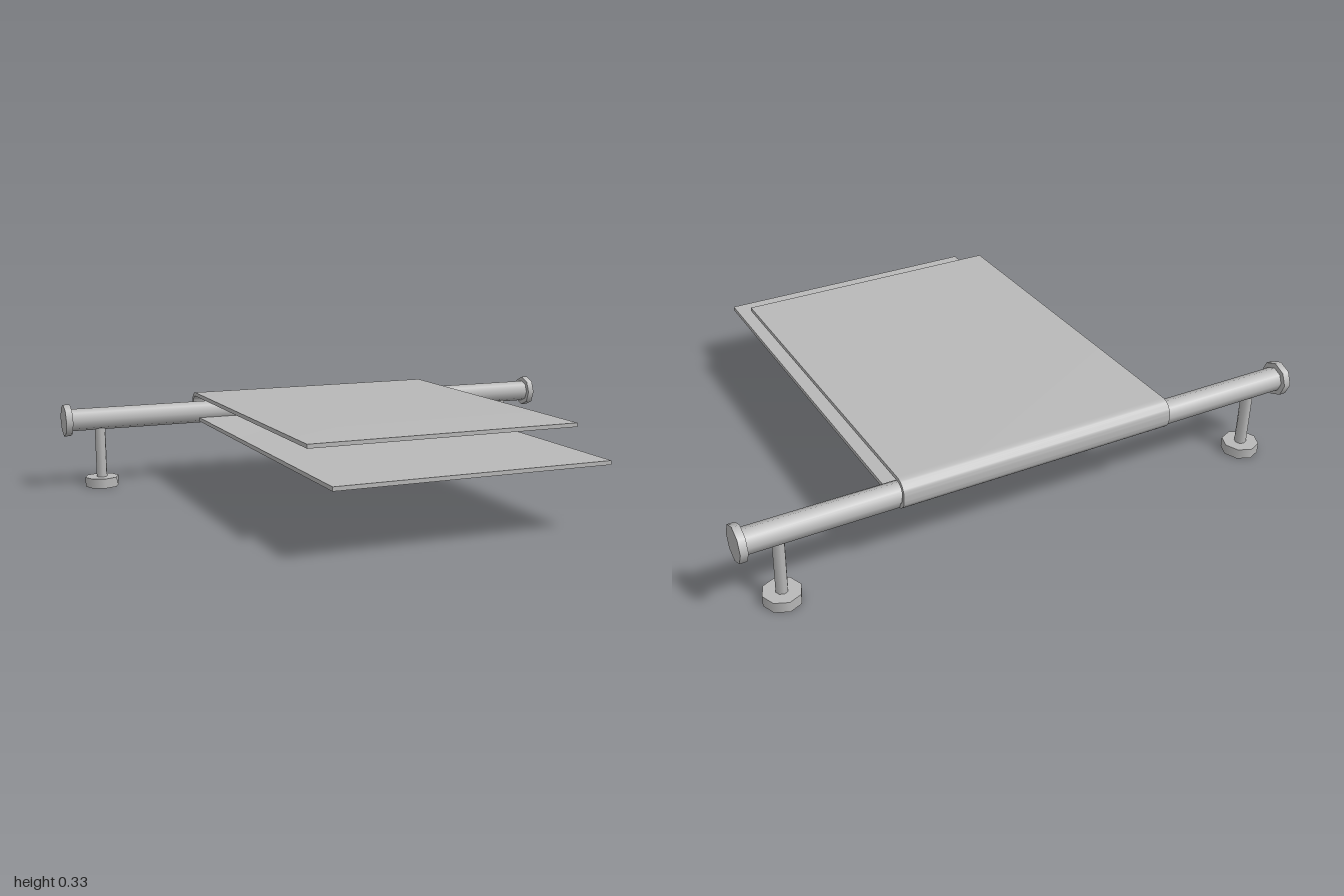
import * as THREE from 'three';
import { toCreasedNormals } from 'three/addons/utils/BufferGeometryUtils.js';

const BAR_Y = 0.259;
const BAR_Z = -0.673;

export function createModel() {
  const model = new THREE.Group();
  model.name = 'towelRail';
  const grey = new THREE.MeshStandardMaterial({ color: 0xb8b8b8 });
  grey.name = 'grey';

  const add = (name, geometry, x, y, z) => {
    const mesh = new THREE.Mesh(geometry, grey);
    mesh.name = name;
    mesh.position.set(x, y, z);
    model.add(mesh);
    return mesh;
  };
  // Eight-sided, smooth shaded round parts
  const round = (radius, length) => new THREE.CylinderGeometry(radius, radius, length, 8);

  // Rail
  add('rail', round(0.042, 1.96), 0, BAR_Y, BAR_Z).rotation.z = Math.PI / 2;

  // End caps, posts and wall plates on both sides
  for (const [side, s] of [['left', 1], ['right', -1]]) {
    add(side + 'EndCap', round(0.06, 0.025), s * 0.9875, BAR_Y, BAR_Z).rotation.z = Math.PI / 2;
    add(side + 'Post', round(0.02, 0.21), s * 0.865, 0.135, BAR_Z);
    add(side + 'Plate', round(0.063, 0.036), s * 0.865, 0.018, BAR_Z);
  }

  // Towel: a thin sheet folded over the rail, the lower half longer
  const top = 0.333, bottom = 0.227, thick = 0.014, back = -0.735;
  const r = 0.045;
  const bend = back + r;
  const profile = new THREE.Shape();
  profile.moveTo(0.735, bottom);
  profile.lineTo(0.735, bottom + thick);
  profile.lineTo(bend, bottom + thick);
  profile.absarc(bend, bottom + r, r - thick, -Math.PI / 2, -Math.PI, true);
  profile.absarc(bend, top - r, r - thick, Math.PI, Math.PI / 2, true);
  profile.lineTo(0.53, top - thick);
  profile.lineTo(0.53, top);
  profile.lineTo(bend, top);
  profile.absarc(bend, top - r, r, Math.PI / 2, Math.PI, false);
  profile.absarc(bend, bottom + r, r, Math.PI, Math.PI * 1.5, false);
  profile.closePath();

  const width = 0.97;
  const cloth = new THREE.ExtrudeGeometry(profile, { depth: width, bevelEnabled: false, curveSegments: 6 });
  cloth.translate(0, 0, -width / 2);
  cloth.rotateY(-Math.PI / 2);
  add('towel', toCreasedNormals(cloth, 0.7), 0, 0, 0);

  return model;
}
